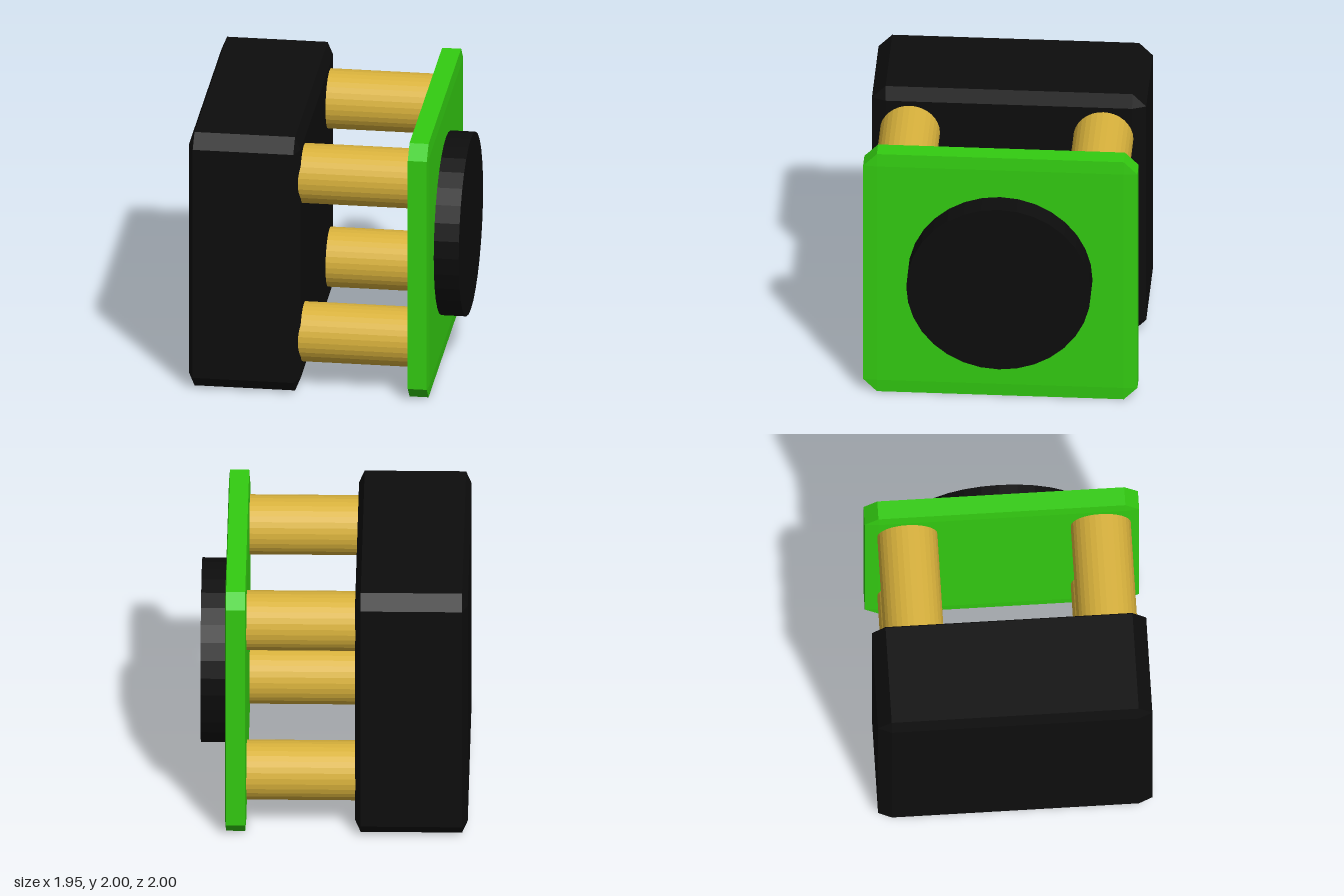
import * as THREE from 'three';
import { ConvexGeometry } from 'three/addons/geometries/ConvexGeometry.js';

const paint = (color) => new THREE.MeshStandardMaterial({ color, flatShading: true });

// Box with every edge chamfered by 5% of its size along each axis
function chamferedBox(w, h, d) {
  const points = [];
  const o = 0.5, i = 0.45;
  for (const x of [-1, 1]) for (const y of [-1, 1]) for (const z of [-1, 1]) {
    for (const [a, b, c] of [[o, i, i], [i, o, i], [i, i, o]]) {
      points.push(new THREE.Vector3(x * a * w, y * b * h, z * c * d));
    }
  }
  return new ConvexGeometry(points);
}

// Cylinder lying along x from x0 to x1
function cylinderX(radius, x0, x1) {
  return new THREE.CylinderGeometry(radius, radius, x1 - x0, 32)
    .rotateZ(-Math.PI / 2)
    .translate((x0 + x1) / 2, 0, 0);
}

export function createModel() {
  const model = new THREE.Group();
  model.name = 'model';
  const black = paint(0x0d0d0d);
  const green = paint(0x33cc11);
  const gold = paint(0xd9b23c);

  const add = (name, geometry, material, x, y, z) => {
    const mesh = new THREE.Mesh(geometry, material);
    mesh.name = name;
    mesh.position.set(x, y, z);
    model.add(mesh);
  };

  // Heavy block and thin plate facing each other
  add('block', chamferedBox(0.82, 2, 2), black, -0.567, 1, 0);
  add('plate', chamferedBox(0.155, 2, 2), green, 0.712, 1, 0);

  // Round disc on the outside of the plate
  add('disc', cylinderX(0.673, 0.74, 0.973), black, 0, 1.003, 0);

  // Four posts joining block and plate
  const post = cylinderX(0.219, -0.3, 0.7);
  for (const [yName, y] of [['lower', 0.395], ['upper', 1.645]]) {
    for (const [zName, z] of [['Front', 0.72], ['Back', -0.69]]) {
      add(`${yName}${zName}Post`, post, gold, 0, y, z);
    }
  }
  return model;
}
